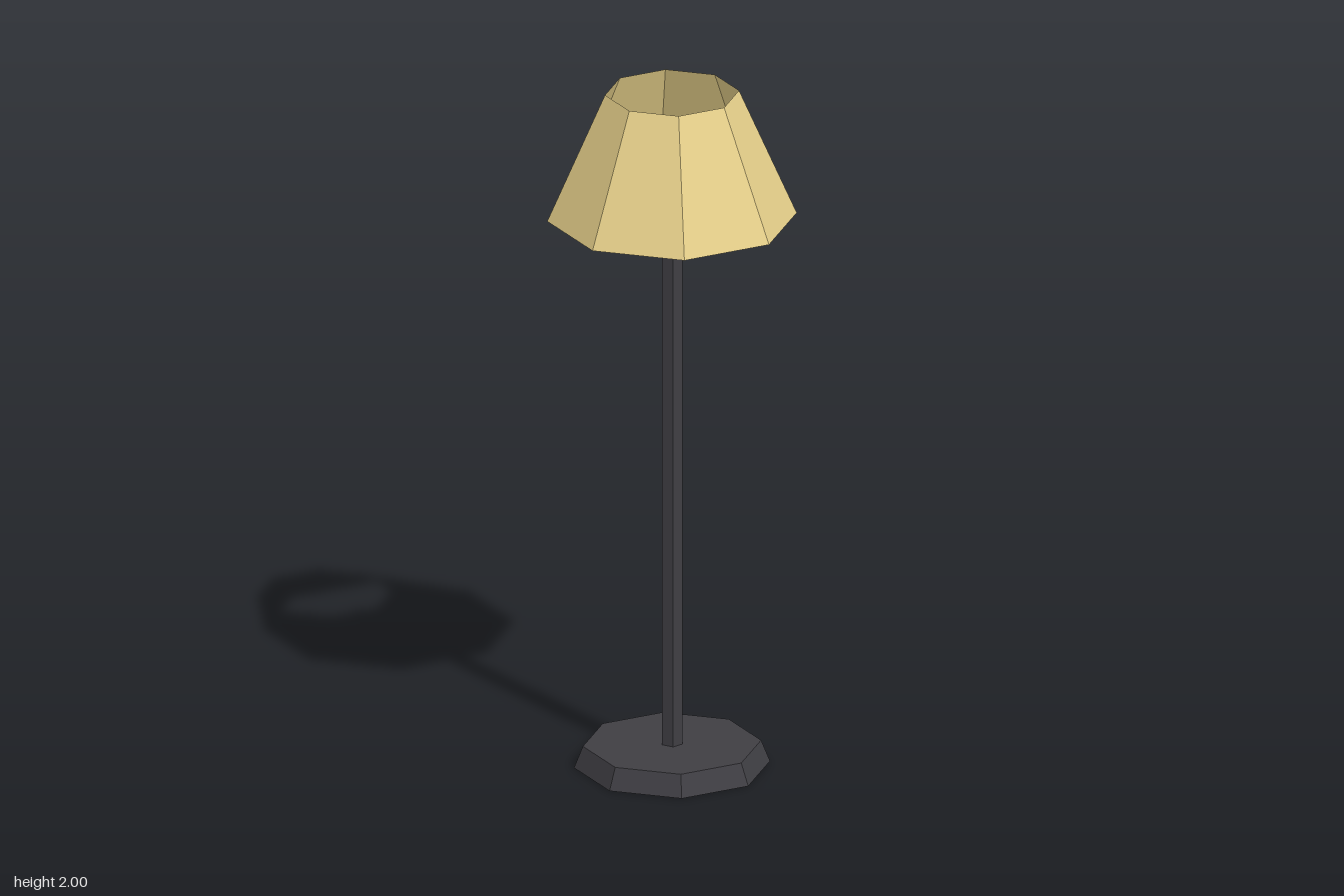
import * as THREE from 'three';

export function createModel() {
  const lamp = new THREE.Group();
  lamp.name = 'floorLamp';

  const metal = new THREE.MeshStandardMaterial({ color: 0x3f3e43, flatShading: true });
  const fabric = new THREE.MeshStandardMaterial({
    color: 0xe6d08a, flatShading: true, side: THREE.DoubleSide,
  });

  // Faceted, optionally open, tapered cylinder spanning y0..y1
  function addPart(name, rTop, rBottom, y0, y1, sides, material, open = false) {
    const geometry = new THREE.CylinderGeometry(rTop, rBottom, y1 - y0, sides, 1, open);
    const mesh = new THREE.Mesh(geometry, material);
    mesh.name = name;
    mesh.position.y = (y0 + y1) / 2;
    lamp.add(mesh);
  }

  addPart('base', 0.25, 0.275, 0, 0.063, 8, metal);
  addPart('pole', 0.03, 0.03, 0.063, 1.78, 5, metal);
  addPart('shade', 0.188, 0.35, 1.63, 2, 8, fabric, true);

  return lamp;
}
